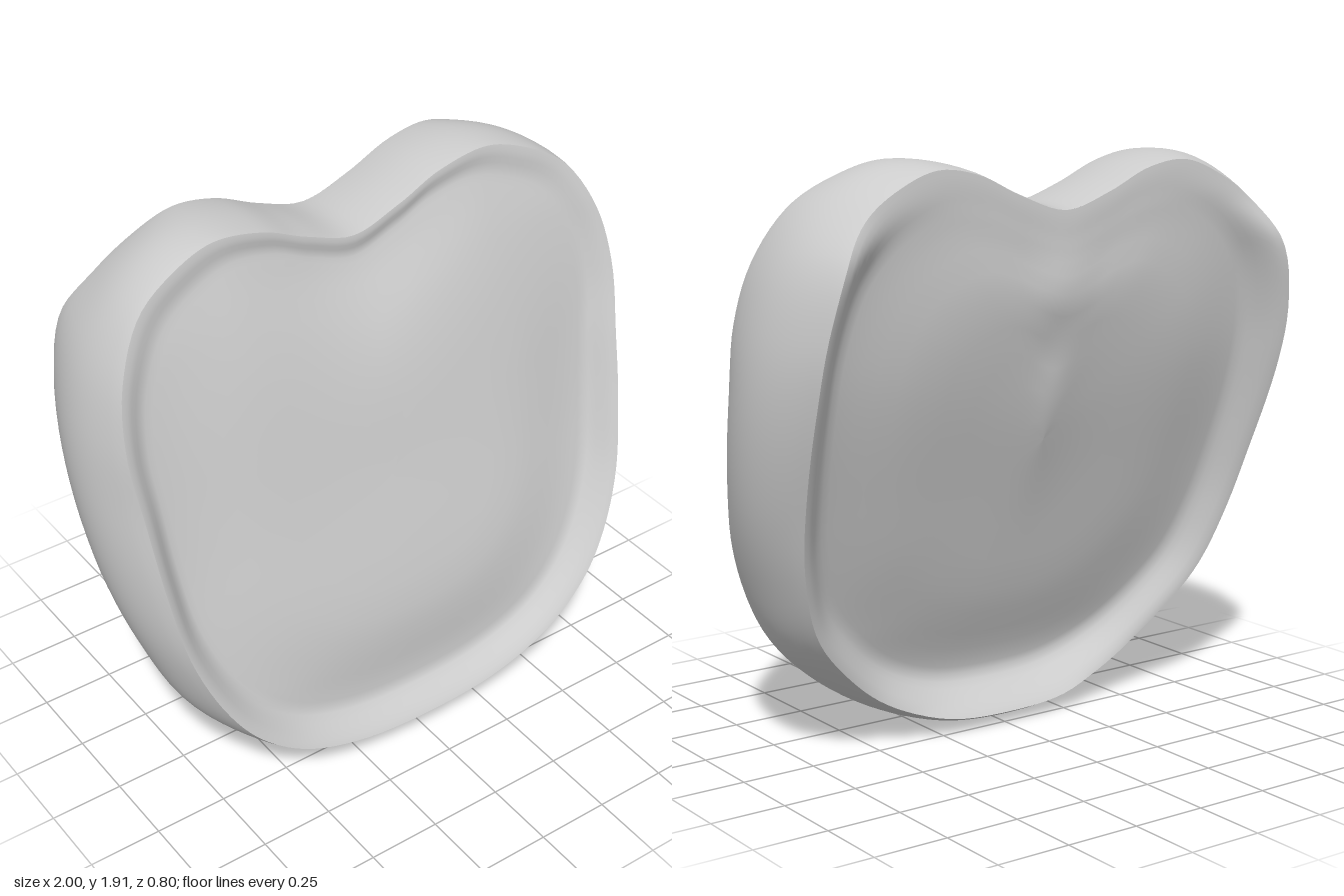
import * as THREE from 'three';

const N = 160;

// Half outlines from bottom centre up the +x side to the top notch: [x, y]
const OUTER = [[0, 0], [.25, .03], [.45, .1], [.64, .22], [.8, .38], [.9, .6], [.97, .85], [1, 1.15],
  [.98, 1.4], [.91, 1.62], [.8, 1.77], [.65, 1.87], [.5, 1.905], [.33, 1.88], [.17, 1.81], [0, 1.755]];
const FRONT = [[0, .1], [.28, .12], [.5, .19], [.66, .31], [.77, .46], [.86, .68], [.9, .93], [.92, 1.17],
  [.935, 1.4], [.9, 1.6], [.8, 1.77], [.65, 1.86], [.5, 1.9], [.33, 1.87], [.17, 1.8], [0, 1.75]];
const BACK = [[0, .04], [.25, .06], [.46, .14], [.62, .26], [.77, .43], [.85, .65], [.89, .9], [.91, 1.17],
  [.9, 1.4], [.84, 1.62], [.74, 1.75], [.62, 1.83], [.48, 1.88], [.33, 1.86], [.17, 1.79], [0, 1.74]];

// Depth as a function of height for both rims and the back hollow: [y, z]
const FRONT_Z = [[0, .42], [.12, .395], [.4, .36], [.8, .27], [1.2, .17], [1.6, .06], [1.8, -.01], [1.92, -.055]];
const BACK_Z = [[0, -.035], [.05, -.025], [.1, -.005], [.2, -.01], [.4, -.07], [.8, -.19], [1.2, -.33],
  [1.4, -.38], [1.6, -.4], [1.75, -.345], [1.92, -.325]];
const HOLLOW_Z = [[0, .12], [.2, .095], [.4, .03], [.8, -.1], [1.2, -.225], [1.5, -.29], [1.75, -.325], [1.92, -.325]];

const smooth = THREE.MathUtils.smoothstep;
const lerp = THREE.MathUtils.lerp;
const bump = (x, y, cx, cy, w, h) => Math.exp(-(((x - cx) / w) ** 2) - ((y - cy) / h) ** 2);

// Mirror a half outline and sample it as a closed smooth loop
function outline(half) {
  const mirrored = half.slice(1, -1).reverse().map(([x, y]) => [-x, y]);
  const curve = new THREE.CatmullRomCurve3(
    [...half, ...mirrored].map(([x, y]) => new THREE.Vector3(x, y, 0)), true, 'centripetal');
  return Array.from({ length: N }, (_, i) => curve.getPoint(i / N));
}

// Smooth depth from a [y, z] table; the notch keeps the depth of the lobes beside it
function depthAt(table, x, yRaw) {
  const y = yRaw + .15 * (1 - smooth(Math.abs(x), 0, .5)) * smooth(yRaw, 1.2, 1.72);
  let i = 0;
  while (i < table.length - 2 && y > table[i + 1][0]) i++;
  const slope = k => {
    const a = table[Math.max(k - 1, 0)], b = table[Math.min(k + 1, table.length - 1)];
    return (b[1] - a[1]) / (b[0] - a[0]);
  };
  const [y0, z0] = table[i], [y1, z1] = table[i + 1], h = y1 - y0;
  const t = THREE.MathUtils.clamp((y - y0) / h, 0, 1), t2 = t * t, t3 = t2 * t;
  return (2 * t3 - 3 * t2 + 1) * z0 + (t3 - 2 * t2 + t) * h * slope(i)
    + (3 * t2 - 2 * t3) * z1 + (t3 - t2) * h * slope(i + 1);
}

// Skin a list of closed rings
function loft(name, rings, material) {
  const index = [];
  for (let r = 0; r < rings.length - 1; r++) {
    for (let i = 0; i < N; i++) {
      const j = (i + 1) % N, a = r * N + i, b = r * N + j, c = a + N, d = b + N;
      index.push(a, c, b, b, c, d);
    }
  }
  const geometry = new THREE.BufferGeometry().setFromPoints(rings.flat());
  geometry.setIndex(index);
  geometry.computeVertexNormals();
  const mesh = new THREE.Mesh(geometry, material);
  mesh.name = name;
  return mesh;
}

export function createModel() {
  const group = new THREE.Group();
  group.name = 'cushion';
  const material = new THREE.MeshStandardMaterial({ color: 0xcccccc, side: THREE.DoubleSide });

  const outer = outline(OUTER), front = outline(FRONT), back = outline(BACK);
  front.forEach(p => { p.z = depthAt(FRONT_Z, p.x, p.y); });
  back.forEach(p => { p.z = depthAt(BACK_Z, p.x, p.y); });

  // Rings growing from the centre to a rim, with depth from a rule
  const scales = [0, .08, .2, .32, .44, .55, .64, .72, .78, .82, .85, .875, .9, .92, .94, .96, .98, 1];
  const face = (rim, depth) => scales.map(s => rim.map(p => {
    const x = p.x * s, y = 1 + (p.y - 1) * s;
    return new THREE.Vector3(x, y, depth(x, y, 1 - s));
  }));

  // Groove behind the lip, rising again into a padded middle
  const groove = (inset, width, padding) => smooth(inset, 0, width) * (1 - padding * smooth(inset, .14, .5));

  // Front face: narrow lip and a groove that fades upwards
  const frontRings = face(front, (x, y, inset) => {
    const dish = .085 - .055 * smooth(y, .8, 1.8) - .02 * bump(x, y, 0, .65, .5, .3);
    return depthAt(FRONT_Z, x, y) - dish * groove(inset, .1, .4);
  });

  // Back face: hollow that runs flat into the top edge, small ridge and dent
  const backRings = face(back, (x, y, inset) =>
    lerp(depthAt(BACK_Z, x, y), depthAt(HOLLOW_Z, x, y), groove(inset, .13, .3))
    - .02 * bump(x, y, 0, 1.5, .12, .12) - .02 * bump(x, y, 0, 1.1, .1, .25)
    + .015 * bump(x, y, .03, 1.32, .09, .08)).reverse();

  // Bulging side wall between the rims
  const steps = 18;
  const wall = Array.from({ length: steps + 1 }, (_, k) => {
    const t = k / steps, swell = Math.max(Math.sin(Math.PI * t), 0) ** .85;
    return front.map((f, i) => {
      const b = back[i], o = outer[i], p = f.clone().lerp(b, t);
      p.x += (o.x - (f.x + b.x) / 2) * swell;
      p.y += (o.y - (f.y + b.y) / 2) * swell;
      return p;
    });
  });

  group.add(
    loft('frontFace', frontRings, material),
    loft('sideWall', wall, material),
    loft('backFace', backRings, material));
  return group;
}
